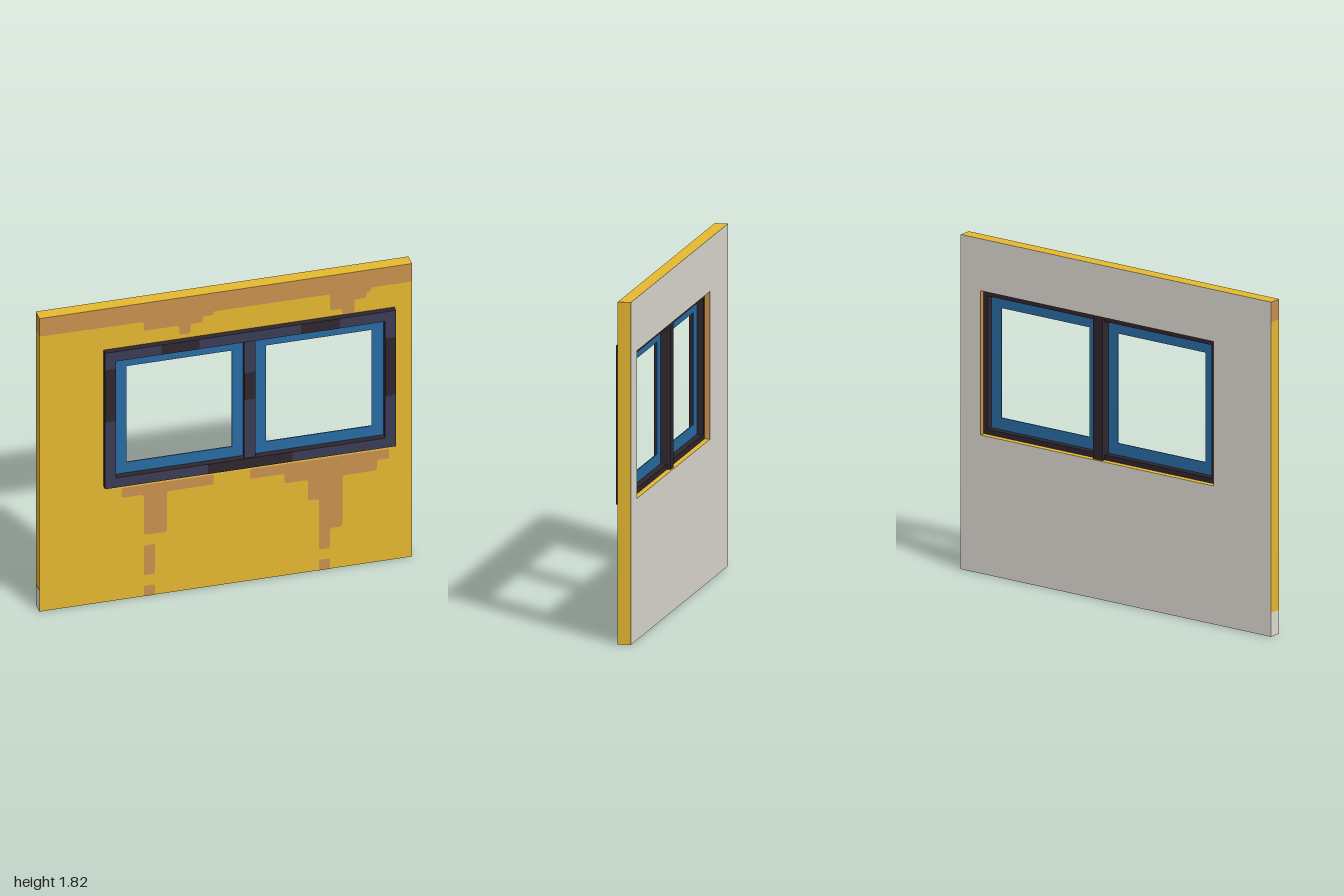
import * as THREE from 'three';

const mat = (name, color) => {
  const m = new THREE.MeshStandardMaterial({ color });
  m.name = name;
  return m;
};

export function createModel() {
  const group = new THREE.Group();
  const yellow = mat('ochrePaint', 0xe4b830);
  const pale = mat('paleOchre', 0xebc246);
  const brown = mat('rustBrown', 0xc9904e);
  const grey = mat('plasterGrey', 0xdedad2);
  const navy = mat('frameNavy', 0x3a3a56);
  const dark = mat('frameDark', 0x2f262e);
  const blue = mat('sashBlue', 0x286ba2);

  const add = (name, geometry, material) => {
    const mesh = new THREE.Mesh(geometry, material);
    mesh.name = name;
    group.add(mesh);
    return mesh;
  };

  // Box given by its limits on each axis
  const box = (name, material, [x0, x1], [y0, y1], [z0, z1]) =>
    add(name, new THREE.BoxGeometry(x1 - x0, y1 - y0, z1 - z0), material)
      .position.set((x0 + x1) / 2, (y0 + y1) / 2, (z0 + z1) / 2);

  const rect = (path, [x0, x1, y0, y1]) =>
    path.moveTo(x0, y0).lineTo(x1, y0).lineTo(x1, y1).lineTo(x0, y1).closePath();

  // Rectangular ring extruded between two depths
  const ring = (name, material, outer, inner, z0, z1) => {
    const shape = rect(new THREE.Shape(), outer);
    shape.holes.push(rect(new THREE.Path(), inner));
    const geo = new THREE.ExtrudeGeometry(shape, { depth: z1 - z0, bevelEnabled: false });
    add(name, geo.translate(0, 0, z0), material);
  };

  // Flat stain with slightly rounded corners
  const stain = (name, points, r = 0.014) => {
    const pts = points.map(([x, y]) => new THREE.Vector2(x, y));
    const shape = new THREE.Shape();
    pts.forEach((p, i) => {
      const before = pts[(i + pts.length - 1) % pts.length];
      const after = pts[(i + 1) % pts.length];
      // corners on the wall's outline stay square
      const edge = Math.abs(p.x) > 0.99 || p.y > 1.8 || p.y < 0.001;
      const toward = q => p.clone().add(
        q.clone().sub(p).setLength(edge ? 0 : Math.min(r, p.distanceTo(q) / 2)));
      const a = toward(before), b = toward(after);
      if (i === 0) shape.moveTo(a.x, a.y);
      else shape.lineTo(a.x, a.y);
      if (!edge) shape.quadraticCurveTo(p.x, p.y, b.x, b.y);
    });
    shape.closePath();
    add(name, new THREE.ShapeGeometry(shape, 4).translate(0, 0, 0.0215), brown);
  };

  // Wall with its window opening, painted front and bare plaster back
  const H = 1.815;
  const wall = [-1, 1, 0, H], opening = [-0.63, 0.875, 0.75, 1.535];
  ring('wall', yellow, wall, opening, -0.0495, 0.02);
  ring('wallBack', grey, wall, opening, -0.05, -0.0495);

  // Brown reveals of the opening and worn patches on the right end of the wall
  box('revealRight', brown, [-0.63, -0.628], [0.75, 1.535], [-0.05, 0.018]);
  box('revealLeft', brown, [0.873, 0.875], [0.75, 1.535], [-0.05, 0.018]);
  box('revealTop', brown, [-0.63, 0.875], [1.533, 1.535], [-0.05, 0.018]);
  box('endStain', brown, [-1.0005, -0.999], [1.705, H], [-0.05, 0.02]);
  box('endPlaster', grey, [-1.0005, -0.999], [0, 0.13], [-0.05, 0.02]);

  // Stains running down the front
  stain('topStain', [
    [-1, H], [-1, 1.705], [-0.44, 1.7], [-0.44, 1.645], [-0.25, 1.645], [-0.25, 1.588],
    [-0.19, 1.588], [-0.19, 1.645], [-0.125, 1.645], [-0.125, 1.68], [-0.065, 1.68],
    [-0.065, 1.702], [0.56, 1.7], [0.56, 1.6], [0.625, 1.6], [0.625, 1.56], [0.69, 1.56],
    [0.69, 1.645], [0.752, 1.645], [0.752, 1.68], [0.778, 1.68], [0.778, 1.705],
    [1, 1.705], [1, H]]);
  stain('sillStainRight', [
    [-0.56, 0.69], [-0.56, 0.63], [-0.44, 0.63], [-0.44, 0.38], [-0.315, 0.38],
    [-0.315, 0.63], [-0.065, 0.63], [-0.065, 0.69]]);
  stain('sillStainLeft', [
    [0.13, 0.69], [0.13, 0.63], [0.315, 0.63], [0.315, 0.57], [0.44, 0.57], [0.44, 0.443],
    [0.5, 0.443], [0.5, 0.13], [0.56, 0.13], [0.56, 0.252], [0.625, 0.252], [0.625, 0.567],
    [0.81, 0.567], [0.81, 0.63], [0.877, 0.63], [0.877, 0.69]]);
  const drops = [[-0.44, 0.13, 0.315], [-0.44, 0, 0.065], [0.5, 0, 0.065]];
  for (const [x, y0, y1] of drops)
    stain('dripStain', [[x, y1], [x, y0], [x + 0.06, y0], [x + 0.06, y1]]);
  box('sillLine', pale, [-0.62, 0.88], [0.69, 0.72], [0.02, 0.021]);

  // Window frame: flange over the wall face, lining inside the opening, mullion
  const inner = [-0.597, 0.847, 0.78, 1.502], outer = [-0.656, 0.905, 0.72, 1.562];
  ring('frameFlange', dark, outer, inner, 0.02, 0.0522);
  ring('frameLining', dark, [-0.627, 0.872, 0.752, 1.532], inner, -0.023, 0.02);
  ring('frameFace', navy, outer, inner, 0.0522, 0.0527);
  box('mullion', dark, [0.092, 0.152], [0.78, 1.502], [-0.023, 0.0455]);
  box('mullionBack', dark, [0.092, 0.152], [0.752, 1.532], [-0.043, -0.023]);
  box('mullionFace', navy, [0.092, 0.152], [0.78, 1.502], [0.0455, 0.046]);

  // Dark worn patches on the frame face
  const patches = [
    [-0.355, -0.15, 1.502, 1.562], [0.395, 0.605, 1.502, 1.562],
    [-0.105, 0.35, 0.72, 0.78], [-0.656, -0.597, 1.135, 1.455],
    [0.847, 0.905, 1.04, 1.395]];
  for (const [x0, x1, y0, y1] of patches)
    box('framePatch', dark, [x0, x1], [y0, y1], [0.0527, 0.0534]);
  box('mullionPatch', dark, [0.092, 0.152], [1.14, 1.305], [0.046, 0.0467]);

  // Two open sashes, each with its outer and inner limits
  const sashes = [
    ['sashRight', -0.597, 0.092, -0.533, 0.033],
    ['sashLeft', 0.152, 0.847, 0.217, 0.784]];
  for (const [name, x0, x1, hx0, hx1] of sashes)
    ring(name, blue, [x0, x1, 0.78, 1.502], [hx0, hx1, 0.845, 1.44], 0.012, 0.018);

  return group;
}
